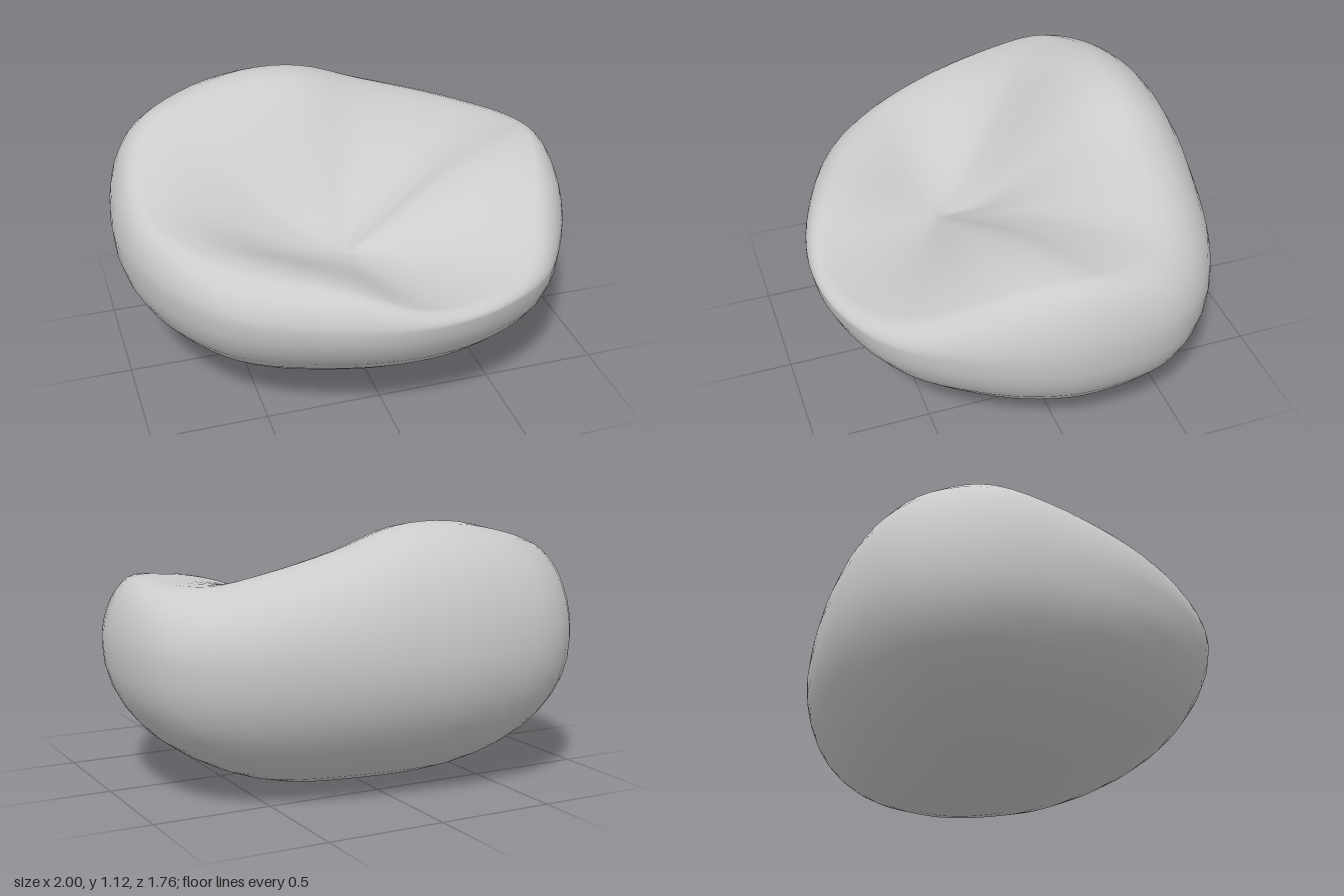
import * as THREE from 'three';
import { mergeVertices } from 'three/addons/utils/BufferGeometryUtils.js';

const V = (x, y, z) => new THREE.Vector3(x, y, z);

// widest outline of the bag, from its left side round by the front
const girth = [
  [1, -0.1], [0.96, 0.17], [0.85, 0.42], [0.66, 0.68], [0.38, 0.83], [0.1, 0.875], [-0.21, 0.83],
  [-0.65, 0.63], [-0.85, 0.39], [-0.97, 0.1], [-1, -0.2], [-0.93, -0.56], [-0.7, -0.8],
  [-0.34, -0.88], [0, -0.87], [0.3, -0.82], [0.6, -0.73], [0.82, -0.6], [0.95, -0.42],
].map(([x, z]) => V(x, 0.61 - 0.04 * Math.max(0, z), z));

// crest of the rim that surrounds the seat hollow, high at the back
const crest = [
  [0.85, 0.905, 0], [0.8, 0.86, 0.22], [0.72, 0.77, 0.4], [0.58, 0.67, 0.6], [0.36, 0.62, 0.76],
  [0.1, 0.63, 0.82], [-0.2, 0.72, 0.72], [-0.55, 0.76, 0.5], [-0.76, 0.78, 0.3],
  [-0.87, 0.82, 0.05], [-0.86, 0.9, -0.2], [-0.76, 1.0, -0.42], [-0.55, 1.07, -0.5],
  [-0.3, 1.12, -0.54], [-0.05, 1.11, -0.54], [0.22, 1.02, -0.52], [0.5, 0.94, -0.47],
  [0.7, 0.89, -0.38], [0.82, 0.89, -0.2],
].map((p) => V(...p));

const base = V(0, 0, -0.2);
const seat = V(-0.08, 0.61, 0.27);

const mix = (a, b, flat, rise) => V(
  THREE.MathUtils.lerp(a.x, b.x, flat),
  THREE.MathUtils.lerp(a.y, b.y, rise),
  THREE.MathUtils.lerp(a.z, b.z, flat),
);

// one section from the underside, out to the girth, over the crest, into the seat
function section(e, c) {
  const pts = [];
  // fuller at the sides, leaner under the front
  const power = 2 / (2 + 0.2 * e.x * e.x - 0.25 * Math.max(0, e.z));
  for (let i = 0; i < 12; i++) {
    const t = (i / 12) * Math.PI / 2;
    pts.push(mix(base, e, Math.sin(t) ** power, 1 - Math.cos(t) ** power));
  }
  for (let i = 0; i < 8; i++) {
    const t = (i / 8) * Math.PI / 2;
    pts.push(mix(e, c, 1 - Math.cos(t), Math.sin(t)));
  }
  // long soft slope from the crest to the seat, with a broad arm on the left
  const slope = 1.1 - 0.45 * THREE.MathUtils.smoothstep(c.x, 0, 0.85);
  for (let i = 0; i <= 12; i++) {
    const r = 1 - i / 12;
    pts.push(mix(seat, c, r, THREE.MathUtils.smoothstep(r ** slope, 0, 1)));
  }
  return pts;
}

export function createModel() {
  const around = 76;
  const outer = new THREE.CatmullRomCurve3(girth, true);
  const inner = new THREE.CatmullRomCurve3(crest, true);
  const positions = [];
  const index = [];
  let rows = 0;
  for (let i = 0; i < around; i++) {
    const pts = section(outer.getPoint(i / around), inner.getPoint(i / around));
    rows = pts.length;
    pts.forEach((p) => positions.push(p.x, p.y, p.z));
  }
  // skin between neighbouring sections, with single triangles at both poles
  for (let i = 0; i < around; i++) {
    for (let j = 0; j < rows - 1; j++) {
      const a = i * rows + j;
      const b = ((i + 1) % around) * rows + j;
      if (j < rows - 2) index.push(a, a + 1, b + 1);
      else index.push(a, a + 1, b);
      if (j > 0 && j < rows - 2) index.push(a, b + 1, b);
    }
  }
  let geometry = new THREE.BufferGeometry();
  geometry.setAttribute('position', new THREE.Float32BufferAttribute(positions, 3));
  geometry.setIndex(index);
  geometry = mergeVertices(geometry, 1e-5);
  geometry.computeVertexNormals();

  const bag = new THREE.Mesh(geometry, new THREE.MeshStandardMaterial({ color: 0xcccccc }));
  bag.name = 'beanBagCushion';
  const group = new THREE.Group();
  group.name = 'beanBagChair';
  group.add(bag);
  return group;
}
